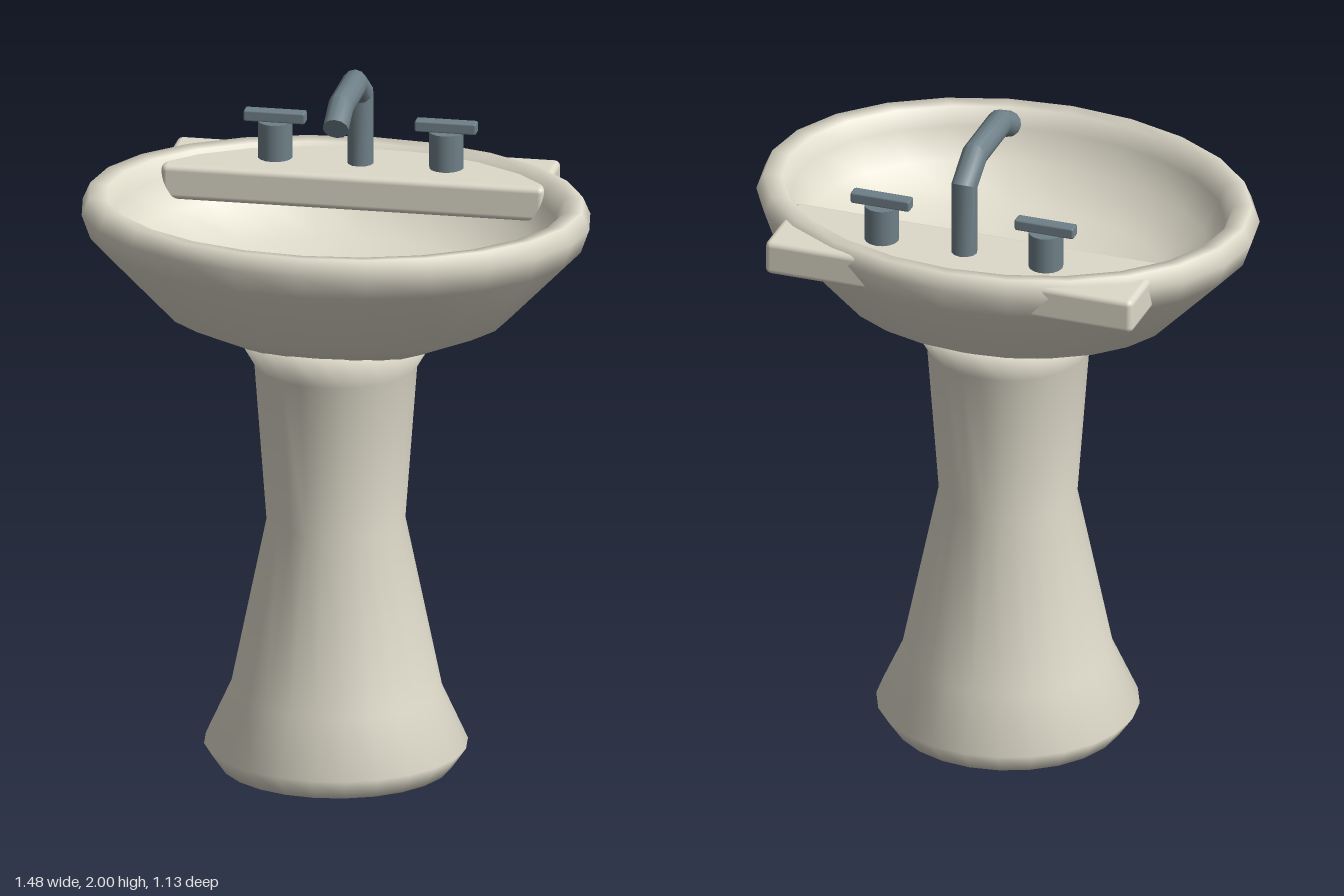
import * as THREE from 'three';
import { toCreasedNormals } from 'three/addons/utils/BufferGeometryUtils.js';
import { RoundedBoxGeometry } from 'three/addons/geometries/RoundedBoxGeometry.js';

const ceramic = new THREE.MeshStandardMaterial({ color: 0xdedaca });
const metal = new THREE.MeshStandardMaterial({ color: 0x6f8088 });

function add(parent, name, geometry, material, x = 0, y = 0, z = 0) {
  const mesh = new THREE.Mesh(geometry, material);
  mesh.name = name;
  mesh.position.set(x, y, z);
  parent.add(mesh);
  return mesh;
}

// Lathe of [radius, height] points, squeezed front to back
function turned(points, depth) {
  return new THREE.LatheGeometry(points.map(([r, y]) => new THREE.Vector2(r, y)), 24).scale(1, 1, depth);
}

// Pipe with mitred bends along [y, z] points: each ring of a cylinder is moved onto the path
function bentPipe(path, radius, sides) {
  const geometry = new THREE.CylinderGeometry(radius, radius, path.length - 1, sides, path.length - 1);
  const points = path.map(([y, z]) => new THREE.Vector2(y, z));
  const pos = geometry.attributes.position;
  const direction = (a, b) => points[b].clone().sub(points[a]).normalize();
  for (let i = 0; i < pos.count; i++) {
    const k = Math.round(pos.getY(i) + (path.length - 1) / 2);
    const last = points.length - 1;
    const before = direction(Math.max(k - 1, 0), Math.max(k, 1));
    const after = direction(Math.min(k, last - 1), Math.min(k + 1, last));
    const tangent = before.clone().add(after).normalize();
    const offset = pos.getZ(i) / tangent.dot(before);
    pos.setXYZ(i, pos.getX(i), points[k].x - tangent.y * offset, points[k].y + tangent.x * offset);
  }
  return toCreasedNormals(geometry, 0.65);
}

export function createModel() {
  const sink = new THREE.Group();
  sink.name = 'pedestalSink';

  // Waisted pedestal flaring into the basin
  add(sink, 'pedestal', turned([
    [0, 0], [0.335, 0], [0.38, 0.065], [0.305, 0.23], [0.2, 0.74],
    [0.235, 1.21], [0.305, 1.33], [0, 1.34],
  ], 0.975), ceramic);

  // Oval basin: outside, rolled rim, then the bowl
  add(sink, 'basin', turned([
    [0, 1.29], [0.31, 1.29], [0.5, 1.37], [0.715, 1.59], [0.74, 1.66], [0.718, 1.71],
    [0.665, 1.705], [0.64, 1.65], [0.595, 1.56], [0.46, 1.47], [0.25, 1.425], [0, 1.415],
  ], 0.764), ceramic);

  // Tap deck crossing the back of the bowl
  add(sink, 'tapDeck', new RoundedBoxGeometry(1.12, 0.105, 0.27, 2, 0.018), ceramic, 0, 1.64, -0.375);

  add(sink, 'drain', new THREE.CylinderGeometry(0.065, 0.065, 0.03, 20), metal, 0, 1.42, 0);

  // Spout rising from the deck and reaching over the drain
  add(sink, 'spout', bentPipe([
    [1.68, -0.37], [1.905, -0.37], [1.962, -0.283], [1.962, -0.073], [1.92, 0.005],
  ], 0.038, 12), metal);

  // Two tap handles with crossbars
  for (const [side, name] of [[1, 'leftTap'], [-1, 'rightTap']]) {
    const tap = new THREE.Group();
    tap.name = name;
    tap.position.set(side * 0.25, 0, -0.375);
    add(tap, 'tapStem', new THREE.CylinderGeometry(0.05, 0.05, 0.12, 16), metal, 0, 1.742, 0);
    add(tap, 'tapCrossbar', new RoundedBoxGeometry(0.18, 0.034, 0.04, 1, 0.006), metal, 0, 1.817, 0);
    sink.add(tap);
  }

  return sink;
}
